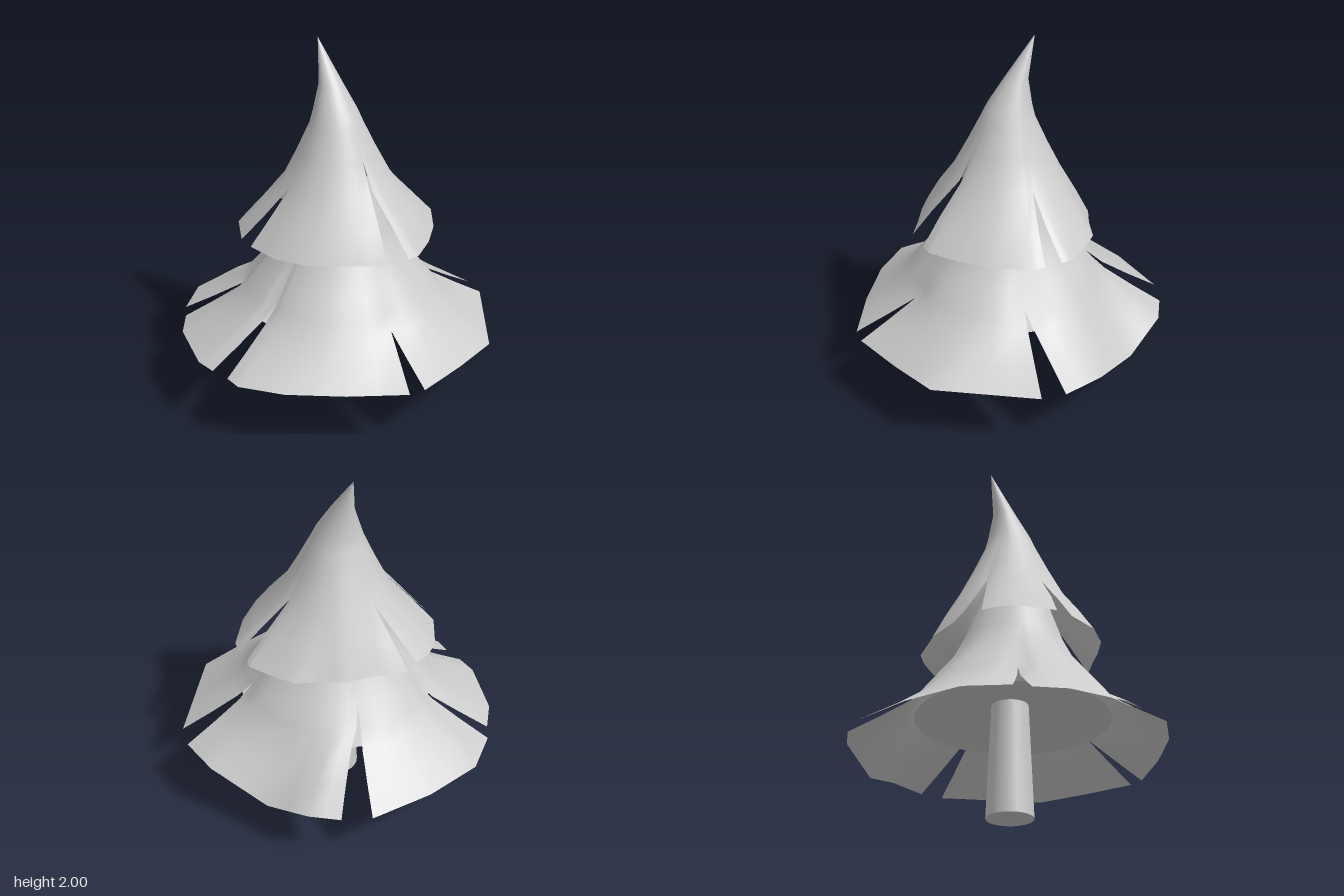
import * as THREE from 'three';
import { mergeVertices } from 'three/addons/utils/BufferGeometryUtils.js';

const lerp = THREE.MathUtils.lerp;

// Each panel hangs between two slits; its rim points are [x, z, droop].
// A slit is [angle, height] of its apex, the first slit opening the first panel.
function slitSkirt(rows, slits, panels, pleat) {
  const pos = [], index = [];
  const [y0, r0] = rows[0];
  panels.forEach((rim, p) => {
    // rim columns, with a midpoint on every straight edge
    const pts = [];
    rim.forEach((a, i) => {
      pts.push(a);
      const b = rim[i + 1];
      if (b) pts.push([0, 1, 2].map(k => ((a[k] || 0) + (b[k] || 0)) / 2));
    });
    const angles = [];
    pts.forEach(([x, z], i) => {
      let a = Math.atan2(z, x);
      const near = i ? angles[i - 1] : slits[p][0];
      while (a < near - Math.PI) a += 2 * Math.PI;
      angles.push(a);
    });
    const first = angles[0], last = angles[angles.length - 1];
    const [sa, sh] = slits[p];
    const next = slits[(p + 1) % slits.length];
    const ea = next[0] + (p + 1 === slits.length ? 2 * Math.PI : 0), eh = next[1];
    const base = pos.length / 3, n = pts.length;

    rows.forEach(([y, r, cz = 0]) => {
      pts.forEach(([x, z, droop = 0], i) => {
        const u = (angles[i] - first) / (last - first);
        const apex = lerp(sh, eh, u);
        const t = Math.min(1, (y - y0) / (apex - y0));
        // straight slit edges: the gap narrows evenly with height
        const full = lerp(sa, ea, u);
        const a = full + (angles[i] - full) * (1 - t) * r0 / r;
        // the cloth dips inward around each slit apex
        const dip = 1 - pleat * Math.max(0, 1 - Math.abs(y - apex) / 0.3) * Math.abs(2 * u - 1) ** 4 * t;
        const rad = r * lerp(Math.hypot(x, z) / r0, 1, t) * dip;
        pos.push(rad * Math.cos(a), y - droop * (1 - t), cz + rad * Math.sin(a));
      });
    });
    for (let j = 0; j < rows.length - 1; j++) {
      for (let i = 0; i < n - 1; i++) {
        const a = base + j * n + i, b = a + n;
        index.push(a, b, a + 1, a + 1, b, b + 1);
      }
    }
  });
  const g = new THREE.BufferGeometry();
  g.setAttribute('position', new THREE.Float32BufferAttribute(pos, 3));
  g.setIndex(index);
  const merged = mergeVertices(g, 1e-4);
  merged.computeVertexNormals();
  return merged;
}

export function createModel() {
  const group = new THREE.Group();
  const bark = new THREE.MeshStandardMaterial({ color: 0xcccccc });
  const leaf = new THREE.MeshStandardMaterial({ color: 0xcccccc, side: THREE.DoubleSide });
  const add = (name, geometry, material) => {
    const mesh = new THREE.Mesh(geometry, material);
    mesh.name = name;
    group.add(mesh);
    return mesh;
  };

  // tapered trunk
  add('trunk', new THREE.CylinderGeometry(0.1, 0.128, 0.64, 24), bark).position.set(0.01, 0.32, -0.013);

  // wide lower boughs, one rim corner drooping
  add('lowerBoughs', slitSkirt(
    [[0.375, 0.87], [0.47, 0.725], [0.57, 0.592], [0.65, 0.525], [0.75, 0.443], [0.88, 0.335], [1.0, 0.275], [1.3, 0.17]],
    [[0.3, 0.65], [1.69, 0.57], [3.04, 0.65], [3.89, 0.62], [4.93, 0.7]],
    [
      [[0.84, 0.27], [0.66, 0.5], [0.48, 0.73], [0.2, 0.8], [-0.1, 0.855]],
      [[-0.19, 0.84], [-0.46, 0.65], [-0.7, 0.44], [-0.85, 0.23], [-0.85, 0.13]],
      [[-0.87, 0.02], [-0.88, -0.1], [-0.78, -0.42], [-0.67, -0.56]],
      [[-0.62, -0.64], [-0.43, -0.8], [-0.1, -0.86], [0.26, -0.86]],
      [[0.41, -0.79], [0.55, -0.68], [0.66, -0.42, 0.095], [0.84, -0.1], [0.87, 0.14]],
    ], 0.1), leaf);

  // shallow hollow closing the lower boughs from below
  add('underside', new THREE.LatheGeometry(
    [[0, 0.64], [0.3, 0.61], [0.53, 0.55]].map(([r, y]) => new THREE.Vector2(r, y)), 32), leaf);

  // upper boughs, ending in a sharp tip bent to the back
  add('upperBoughs', slitSkirt(
    [[0.96, 0.535], [1.1, 0.425], [1.26, 0.297, -0.01], [1.42, 0.215, -0.015], [1.57, 0.145, -0.02],
      [1.64, 0.12, -0.03], [1.78, 0.064, -0.07], [2, 0.001, -0.18]],
    [[0.02, 1.25], [1.54, 1.31], [3.32, 1.25], [4.43, 1.27]],
    [
      [[0.55, 0.08], [0.54, 0.15], [0.41, 0.32], [0.27, 0.44], [0.12, 0.53], [0.05, 0.53]],
      [[-0.09, 0.52], [-0.2, 0.43], [-0.31, 0.35], [-0.42, 0.25], [-0.5, 0.1], [-0.52, -0.1]],
      [[-0.51, -0.2], [-0.4, -0.39], [-0.31, -0.45], [-0.23, -0.47]],
      [[-0.15, -0.52], [-0.02, -0.47], [0.18, -0.43], [0.28, -0.37], [0.41, -0.31], [0.48, -0.22], [0.56, -0.07], [0.555, -0.02]],
    ], 0.05), leaf);

  return group;
}
